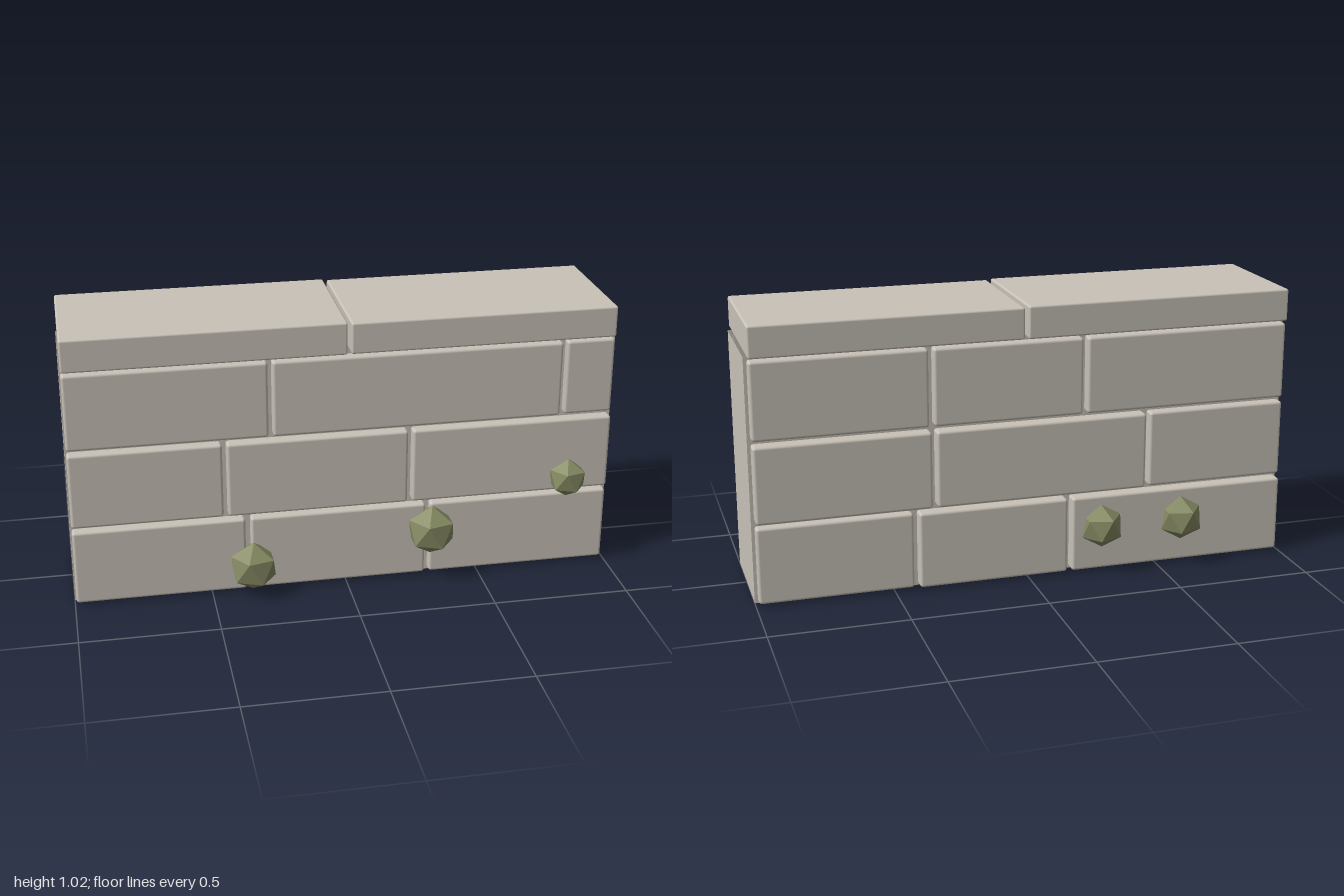
import * as THREE from 'three';
import { RoundedBoxGeometry } from 'three/addons/geometries/RoundedBoxGeometry.js';

const stone = new THREE.MeshStandardMaterial({ color: 0xc8c2b8, side: THREE.DoubleSide });
stone.name = 'stone';
const moss = new THREE.MeshStandardMaterial({ color: 0x858a62, flatShading: true });
moss.name = 'moss green';

// Rounded block given by its limits on each axis
function block(name, [x0, x1], [y0, y1], [z0, z1], radius = 0.011) {
  const geo = new RoundedBoxGeometry(x1 - x0, y1 - y0, z1 - z0, 2, radius);
  const mesh = new THREE.Mesh(geo, stone);
  mesh.position.set((x0 + x1) / 2, (y0 + y1) / 2, (z0 + z1) / 2);
  mesh.name = name;
  return mesh;
}

// Hollow core: four walls, open above and below
function createCore() {
  const core = new THREE.Group();
  core.name = 'core';
  const height = 0.9, front = 0.197, back = -0.203;
  const walls = [
    ['coreFront', 2, 0, front, 0],
    ['coreBack', 2, 0, back, Math.PI],
    ['coreLeft', front - back, 1, (front + back) / 2, Math.PI / 2],
    ['coreRight', front - back, -1, (front + back) / 2, -Math.PI / 2],
  ];
  for (const [name, width, x, z, turn] of walls) {
    const wall = new THREE.Mesh(new THREE.PlaneGeometry(width, height), stone);
    wall.position.set(x, height / 2, z);
    wall.rotation.y = turn;
    wall.name = name;
    core.add(wall);
  }
  return core;
}

// Rows of facing stones, bottom to top: [x start, x end, outer z]
const frontRows = [
  [[-0.995, -0.373, 0.243], [-0.353, 0.297, 0.24], [0.314, 0.99, 0.238]],
  [[-0.995, -0.45, 0.243], [-0.434, 0.226, 0.245], [0.243, 0.99, 0.245]],
  [[-0.995, -0.282, 0.243], [-0.266, 0.793, 0.243], [0.81, 0.99, 0.235]],
];
const backRows = [
  [[-0.99, -0.165, -0.263], [-0.147, 0.41, -0.262], [0.428, 0.99, -0.25]],
  [[-0.99, -0.463, -0.255], [-0.446, 0.342, -0.264], [0.359, 0.99, -0.264]],
  [[-0.99, -0.22, -0.255], [-0.203, 0.348, -0.255], [0.366, 0.99, -0.255]],
];

function createFacing(name, rows, inner) {
  const facing = new THREE.Group();
  facing.name = name;
  rows.forEach((row, r) => {
    for (const [x0, x1, outer] of row) {
      const z = [Math.min(inner, outer), Math.max(inner, outer)];
      facing.add(block('facingStone', [x0, x1], [0.01 + r * 0.3, 0.294 + r * 0.3], z));
    }
  });
  return facing;
}

// Moss clumps: x, y, z, radius
const clumps = [
  [-0.35, 0.11, 0.257, 0.093],
  [0.315, 0.196, 0.257, 0.095],
  [0.83, 0.364, 0.256, 0.074],
  [-0.59, 0.178, -0.263, 0.085],
  [-0.277, 0.178, -0.263, 0.083],
];

export function createModel() {
  const model = new THREE.Group();
  model.name = 'stoneWall';
  model.add(createCore());
  model.add(createFacing('frontFacing', frontRows, 0.196));
  model.add(createFacing('backFacing', backRows, -0.206));

  // Capping slabs
  model.add(block('capRight', [-0.995, 0.002], [0.902, 1.022], [-0.255, 0.243], 0.008));
  model.add(block('capLeft', [0.016, 0.99], [0.902, 1.018], [-0.255, 0.241], 0.008));

  for (const [x, y, z, radius] of clumps) {
    const clump = new THREE.Mesh(new THREE.IcosahedronGeometry(radius, 0), moss);
    clump.position.set(x, y, z);
    clump.rotation.z = Math.PI / 6;
    clump.name = 'mossClump';
    model.add(clump);
  }
  return model;
}
